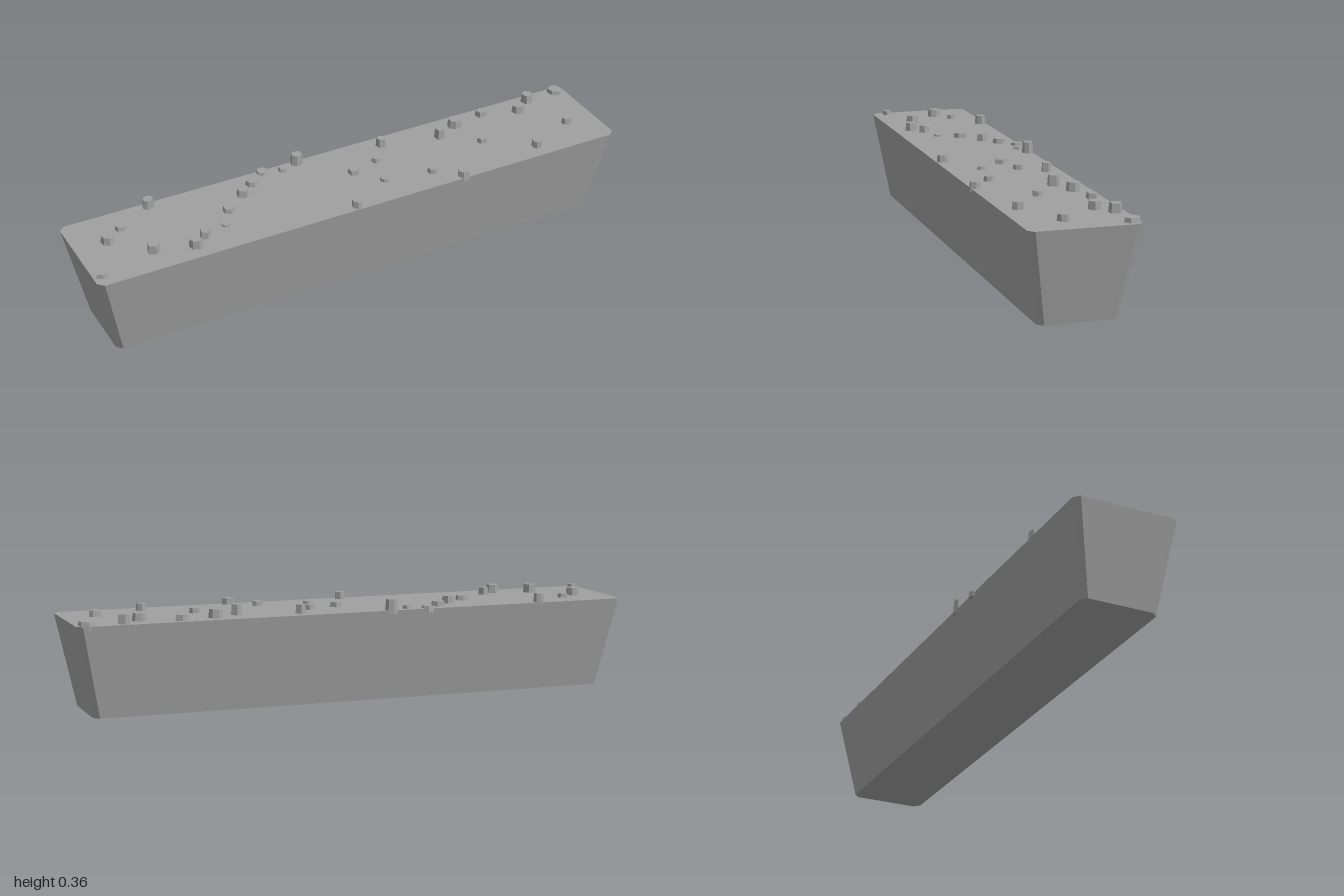
import * as THREE from 'three';

const TOP = 0.318, HALF_X = 1, HALF_Z = 0.187, CHAMFER = 0.02, MID_Z = -0.003;

// x, z, top height and radius of each pebble
const PEBBLES = [
  [-0.97, 0.13, 0.333, 0.023], [-0.88, -0.04, 0.345, 0.028], [-0.815, -0.09, 0.333, 0.021],
  [-0.765, 0.08, 0.348, 0.026], [-0.68, -0.17, 0.35, 0.024], [-0.63, 0.12, 0.348, 0.026],
  [-0.58, 0.083, 0.344, 0.022], [-0.49, 0.053, 0.325, 0.019], [-0.445, -0.02, 0.335, 0.028],
  [-0.365, -0.08, 0.344, 0.024], [-0.305, -0.13, 0.335, 0.028], [-0.245, -0.178, 0.328, 0.024],
  [-0.175, -0.157, 0.33, 0.02], [-0.11, -0.176, 0.357, 0.024], [-0.045, 0.16, 0.343, 0.022],
  [0.04, -0.026, 0.335, 0.024], [0.113, 0.065, 0.33, 0.02], [0.147, -0.058, 0.335, 0.022],
  [0.21, -0.138, 0.35, 0.021], [0.29, 0.093, 0.335, 0.021], [0.375, 0.166, 0.34, 0.026],
  [0.425, -0.09, 0.355, 0.024], [0.51, -0.13, 0.348, 0.028], [0.545, 0.005, 0.335, 0.021],
];
const MORE_PEBBLES = [
  [0.635, -0.15, 0.338, 0.026], [0.703, 0.123, 0.343, 0.022], [0.77, -0.11, 0.345, 0.027],
  [0.835, -0.155, 0.35, 0.025], [0.887, 0.037, 0.34, 0.025], [0.962, -0.162, 0.333, 0.032],
];

// Long chamfered block that narrows towards the ground
function blockGeometry() {
  const x = HALF_X, z = HALF_Z, c = CHAMFER;
  const outline = new THREE.Shape([
    [x - c, -z], [x, -z + c], [x, z - c], [x - c, z],
    [-x + c, z], [-x, z - c], [-x, -z + c], [-x + c, -z],
  ].map(([a, b]) => new THREE.Vector2(a, b)));
  const geometry = new THREE.ExtrudeGeometry(outline, { depth: TOP, bevelEnabled: false });
  geometry.rotateX(-Math.PI / 2);
  const p = geometry.attributes.position;
  for (let i = 0; i < p.count; i++) {
    if (p.getY(i) > TOP / 2) continue;
    p.setX(i, p.getX(i) - Math.sign(p.getX(i)) * 0.063);
    p.setZ(i, p.getZ(i) - Math.sign(p.getZ(i)) * 0.051);
  }
  geometry.translate(0, 0, MID_Z);
  geometry.computeVertexNormals();
  return geometry;
}

// Stubby faceted stone, slightly narrower at the top
function pebbleGeometry(radius, height, sides, stretch) {
  const geometry = new THREE.CylinderGeometry(radius * 0.82, radius, height, sides).toNonIndexed();
  geometry.scale(1, 1, stretch);
  geometry.computeVertexNormals();
  return geometry;
}

export function createModel() {
  const stone = new THREE.MeshStandardMaterial({ color: 0xa0a0a0 });
  stone.name = 'grey stone';
  const model = new THREE.Group();
  model.name = 'stoneBlock';

  const block = new THREE.Mesh(blockGeometry(), stone);
  block.name = 'block';
  model.add(block);

  // Loose pebbles scattered over the top face
  const pebbles = new THREE.Group();
  pebbles.name = 'pebbles';
  [...PEBBLES, ...MORE_PEBBLES].forEach(([x, z, top, radius], i) => {
    const base = 0.306;
    const geometry = pebbleGeometry(radius, top - base, 5 + (i * 2) % 3, 0.85 + 0.05 * (i % 4));
    const pebble = new THREE.Mesh(geometry, stone);
    pebble.name = 'pebble';
    pebble.position.set(x, (top + base) / 2, z);
    pebble.rotation.y = i * 1.7;
    pebbles.add(pebble);
  });
  model.add(pebbles);
  return model;
}
